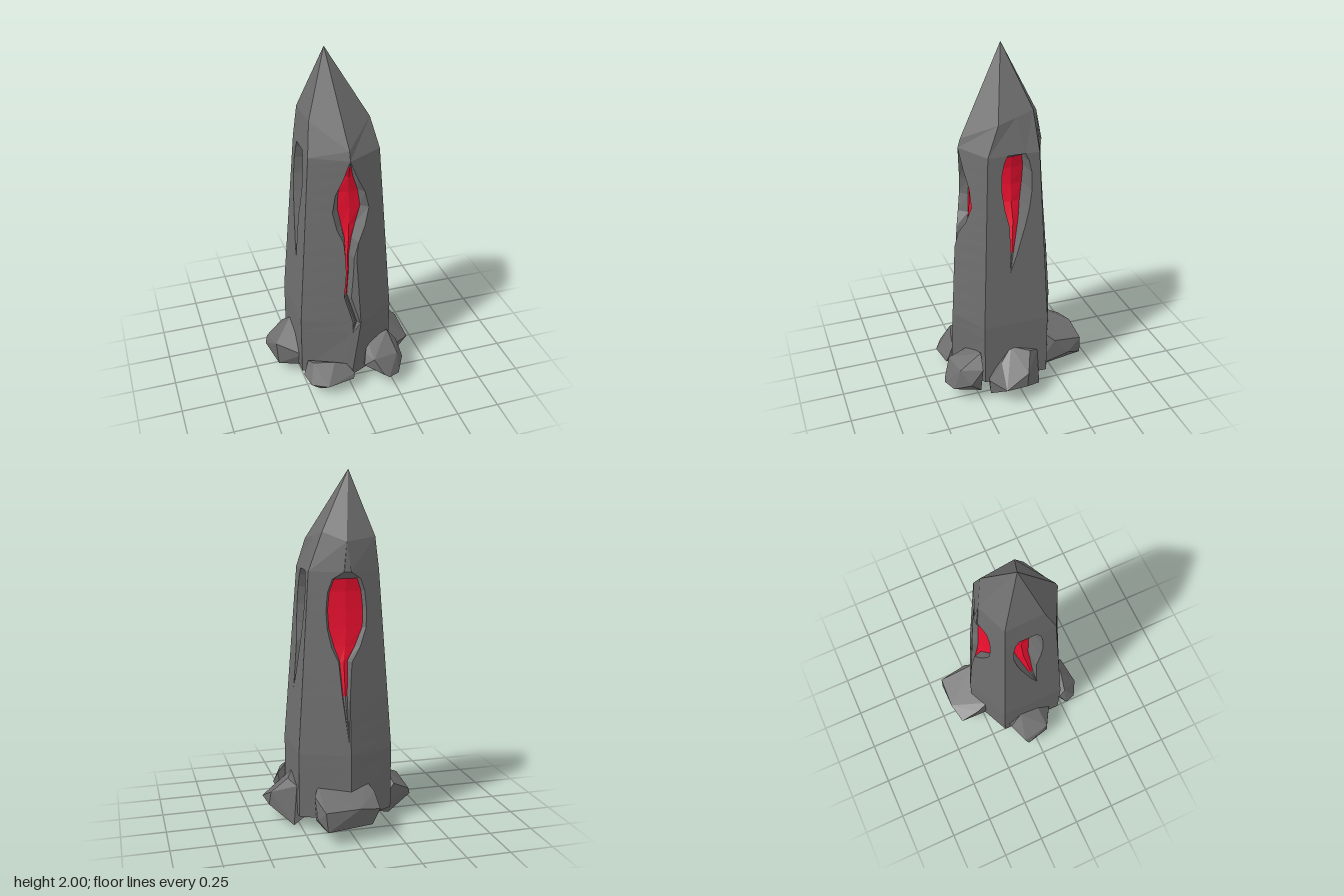
import * as THREE from 'three';
import { ConvexGeometry } from 'three/addons/geometries/ConvexGeometry.js';

const stone = new THREE.MeshStandardMaterial({ color: 0x6e6e6e, flatShading: true, side: THREE.DoubleSide });
const glow = new THREE.MeshStandardMaterial({ color: 0xee1030, flatShading: true, side: THREE.DoubleSide });

// Corner rings of the six-sided shaft, counterclockwise from the front as seen from above
const base = [[0, 0.08, 0.335], [0.27, 0.08, 0.21], [0.27, 0.08, -0.17], [0, 0.08, -0.29], [-0.27, 0.08, -0.17], [-0.27, 0.08, 0.21]];
const waist = [[0.05, 0.45, 0.335], [0.27, 0.45, 0.21], [0.27, 0.45, -0.17], [0, 0.45, -0.285], [-0.27, 0.45, -0.17], [-0.27, 0.45, 0.21]];
const neck = [[0, 1.46, 0.265], [0.2, 1.46, 0.16], [0.2, 1.46, -0.13], [0, 1.46, -0.21], [-0.2, 1.46, -0.13], [-0.2, 1.46, 0.16]];
const shoulder = [[0, 1.51, 0.25], [0.165, 1.62, 0.09], [0.12, 1.67, -0.12], [0, 1.62, -0.185], [-0.18, 1.64, -0.12], [-0.175, 1.64, 0.1]];
const apex = [-0.06, 2, 0];
const levels = [0.08, 0.38, 0.45, 0.52, 0.62, 0.78, 0.88, 0.97, 1.05, 1.15, 1.25, 1.35, 1.42, 1.46];

// Cleft rows: height, centre shift, lip half width, floor half width, depth
const frontCleft = [[0.38, -0.035, 0, 0, 0], [0.45, -0.022, 0.02, 0.006, 0.02], [0.62, -0.06, 0.018, 0.006, 0.04], [0.78, -0.04, 0.018, 0.007, 0.045],
  [0.88, -0.035, 0.022, 0.01, 0.05], [0.97, -0.02, 0.04, 0.02, 0.07], [1.05, -0.01, 0.08, 0.04, 0.085], [1.15, 0, 0.105, 0.065, 0.09],
  [1.25, 0, 0.085, 0.055, 0.085], [1.35, 0, 0.04, 0.025, 0.06], [1.46, 0, 0, 0, 0]];
const backCleft = [[0.52, 0.01, 0, 0, 0], [0.78, 0.02, 0.02, 0.012, 0.025], [0.97, 0.02, 0.035, 0.022, 0.045], [1.05, 0.01, 0.08, 0.06, 0.06],
  [1.15, 0, 0.11, 0.095, 0.07], [1.25, 0, 0.115, 0.1, 0.07], [1.35, 0, 0.105, 0.09, 0.065], [1.42, 0, 0.08, 0.065, 0.05], [1.46, 0, 0.02, 0.02, 0]];
const faceCleft = [[0.78, 0.03, 0, 0, 0], [0.88, 0.01, 0.018, 0.012, 0.04], [1.05, -0.015, 0.045, 0.035, 0.09], [1.15, -0.015, 0.07, 0.055, 0.12],
  [1.25, -0.015, 0.085, 0.07, 0.125], [1.35, -0.015, 0.085, 0.075, 0.115], [1.42, -0.015, 0.07, 0.06, 0.09], [1.46, -0.015, 0.05, 0.05, 0]];

// Each cleft: corners it crosses, the axis it spreads along, direction of travel, outward sign, foot of the glow
const clefts = [
  { rows: frontCleft, path: [5, 0, 1], axis: 0, dir: 1, out: 1, red: 0.62 },
  { rows: faceCleft, path: [1, 2], axis: 2, dir: -1, out: 1, red: 0.88 },
  { rows: backCleft, path: [2, 3, 4], axis: 0, dir: -1, out: -1, red: 0.78 },
  { rows: faceCleft, path: [4, 5], axis: 2, dir: 1, out: -1, red: 0.88 },
];
const STRIDE = 7; // ring points per cleft

const mix = (a, b, t) => a.map((v, i) => v + (b[i] - v) * t);

function cleftAt(rows, y) {
  if (y <= rows[0][0]) return rows[0];
  const i = rows.findIndex((r) => r[0] >= y - 1e-6);
  return mix(rows[i - 1], rows[i], (y - rows[i - 1][0]) / (rows[i][0] - rows[i - 1][0]));
}

// Point on a run of corners at coordinate u along the axis
function onWall(path, axis, dir, u) {
  let i = 0;
  while (i < path.length - 2 && (path[i + 1][axis] - u) * dir < 0) i++;
  const [a, b] = [path[i], path[i + 1]];
  return mix(a, b, (u - a[axis]) / (b[axis] - a[axis]));
}

// One cross-section: per cleft two lips, three floor points, the wall's own edge and the next corner
function ring(corners, y) {
  const points = [];
  clefts.forEach((c) => {
    const path = c.path.map((i) => corners[i]);
    const middle = path.length === 3 ? path[1][c.axis] : (path[0][c.axis] + path[1][c.axis]) / 2;
    const [, shift, lip, floor, depth] = y === null ? [0, 0, 0, 0, 0] : cleftAt(c.rows, y);
    const wall = (du) => onWall(path, c.axis, c.dir, middle + shift + du * c.dir);
    const sunk = (du, d) => {
      const p = wall(0);
      p[c.axis] += du * c.dir;
      p[2 - c.axis] -= c.out * d;
      return p;
    };
    points.push(wall(-lip), sunk(-floor, depth), sunk(0, depth * 0.85), sunk(floor, depth), wall(lip));
    points.push(wall(Math.max(lip, -shift * c.dir)), path[path.length - 1]);
  });
  return points;
}

function soup(triangles, material, name) {
  const geometry = new THREE.BufferGeometry();
  geometry.setAttribute('position', new THREE.Float32BufferAttribute(triangles, 3));
  geometry.computeVertexNormals();
  const mesh = new THREE.Mesh(geometry, material);
  mesh.name = name;
  return mesh;
}

function buildObelisk() {
  const rings = levels.map((y) => {
    const low = y <= 0.45;
    const t = low ? (y - 0.08) / 0.37 : (y - 0.45) / 1.01;
    return ring((low ? base : waist).map((p, i) => mix(p, (low ? waist : neck)[i], t)), y);
  });
  rings.push(ring(shoulder, null));
  const grey = [], red = [], n = rings[0].length;
  for (let r = 0; r < rings.length - 1; r++) {
    for (let i = 0; i < n; i++) {
      const j = (i + 1) % n, a = rings[r], b = rings[r + 1];
      const slot = i % STRIDE, foot = clefts[Math.floor(i / STRIDE)].red;
      const isRed = (slot === 1 || slot === 2) && levels[r] >= foot && levels[r] < 1.4;
      (isRed ? red : grey).push(...a[i], ...a[j], ...b[j], ...a[i], ...b[j], ...b[i]);
    }
  }
  // Pointed cap and flat underside
  for (let i = 0; i < 6; i++) {
    const j = (i + 1) % 6;
    grey.push(...shoulder[i], ...shoulder[j], ...apex);
    grey.push(...base[j], ...base[i], 0, 0.08, 0);
  }
  const group = new THREE.Group();
  group.name = 'obelisk';
  group.add(soup(grey, stone, 'shaft'), soup(red, glow, 'glowingClefts'));
  return group;
}

// Boulders around the foot, each the hull of a few points
const boulders = {
  backBoulder: [[-0.13, 0.18, -0.41], [-0.01, 0.2, -0.435], [0.18, 0.19, -0.425], [0.205, 0.12, -0.34], [0.2, 0.22, -0.25], [0.17, 0.26, -0.2],
    [-0.13, 0.24, -0.3], [-0.11, 0.27, -0.22], [-0.09, 0.09, -0.4], [0.17, 0.08, -0.43], [0.17, 0.04, -0.16], [-0.1, 0.04, -0.16]],
  rightBoulder: [[-0.425, 0.11, -0.07], [-0.41, 0.15, -0.09], [-0.39, 0.2, 0.07], [-0.38, 0.06, 0.08], [-0.3, 0.21, -0.14], [-0.27, 0.28, -0.06],
    [-0.25, 0.26, 0.06], [-0.25, 0.15, 0.155], [-0.28, 0, 0.04], [-0.29, 0.01, -0.08], [-0.2, 0.05, -0.14], [-0.2, 0.05, 0.14]],
  leftBoulder: [[0.425, 0.11, 0.13], [0.4, 0.18, -0.01], [0.41, 0.1, 0], [0.31, 0.27, -0.05], [0.26, 0.29, 0.05], [0.27, 0.24, -0.11],
    [0.3, 0.22, 0.12], [0.29, 0.1, 0.19], [0.28, 0, 0.18], [0.29, 0.01, -0.12], [0.22, 0.06, -0.12], [0.22, 0.1, 0.18]],
  frontLeftBoulder: [[0.31, 0.2, 0.235], [0.325, 0.12, 0.31], [0.27, 0.08, 0.4], [0.2, 0.09, 0.435], [0.17, 0.11, 0.425], [0.07, 0.15, 0.355],
    [0.09, 0.2, 0.31], [0.12, 0.25, 0.26], [0.25, 0.28, 0.23], [0.27, 0.2, 0.36], [0.12, 0.2, 0.385], [0.1, 0.06, 0.25], [0.28, 0.04, 0.24]],
  frontRightBoulder: [[-0.275, 0.1, 0.27], [-0.24, 0.17, 0.235], [-0.25, 0.07, 0.34], [-0.16, 0.07, 0.39], [0, 0.08, 0.37], [0.01, 0.11, 0.36],
    [-0.03, 0.16, 0.32], [-0.1, 0.18, 0.31], [-0.22, 0.18, 0.28], [-0.2, 0.02, 0.25], [-0.19, 0.02, 0.33], [-0.03, 0.06, 0.25]],
};

export function createModel() {
  const model = new THREE.Group();
  model.name = 'crackedObelisk';
  model.add(buildObelisk());
  for (const [name, points] of Object.entries(boulders)) {
    const rock = new THREE.Mesh(new ConvexGeometry(points.map((p) => new THREE.Vector3(...p))), stone);
    rock.name = name;
    model.add(rock);
  }
  return model;
}
